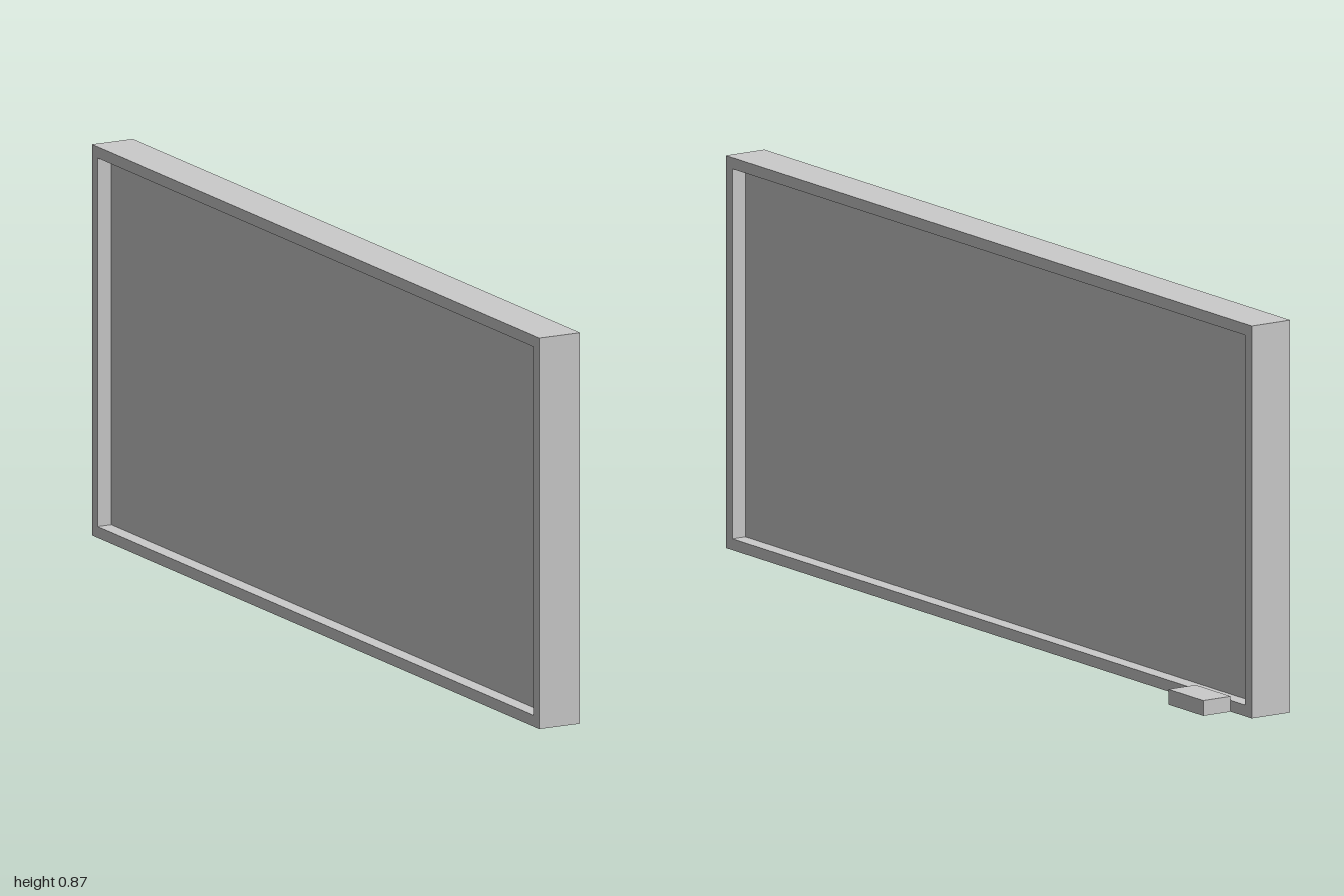
import * as THREE from 'three';

const material = new THREE.MeshStandardMaterial({ color: 0xcccccc });

// Box given by its minimum and maximum corners
function block(name, min, max) {
  const size = max.map((v, i) => v - min[i]);
  const mesh = new THREE.Mesh(new THREE.BoxGeometry(...size), material);
  mesh.position.set(...min.map((v, i) => v + size[i] / 2));
  mesh.name = name;
  return mesh;
}

export function createModel() {
  const model = new THREE.Group();
  model.name = 'framedPanel';

  const height = 0.87, half = 1, border = 0.025;
  const back = -0.087, face = 0.014, recess = 0.034;

  // Rectangular frame, drawn in the z-y plane and extruded through its thickness
  const outline = new THREE.Shape();
  outline.moveTo(-half, 0);
  outline.lineTo(half, 0);
  outline.lineTo(half, height);
  outline.lineTo(-half, height);
  outline.closePath();
  const opening = new THREE.Path();
  opening.moveTo(-half + border, border);
  opening.lineTo(-half + border, height - border);
  opening.lineTo(half - border, height - border);
  opening.lineTo(half - border, border);
  opening.closePath();
  outline.holes.push(opening);
  const frameGeometry = new THREE.ExtrudeGeometry(outline, { depth: face - back, bevelEnabled: false });
  frameGeometry.rotateY(Math.PI / 2);
  const frame = new THREE.Mesh(frameGeometry, material);
  frame.position.x = back;
  frame.name = 'frame';
  model.add(frame);

  // Panel recessed on both sides
  model.add(block('panel',
    [back + recess, border, -half + border],
    [face - recess, height - border, half - border]));

  // Small foot projecting near one lower corner
  model.add(block('foot', [face, 0, -0.92], [0.086, 0.034, -0.787]));

  return model;
}
